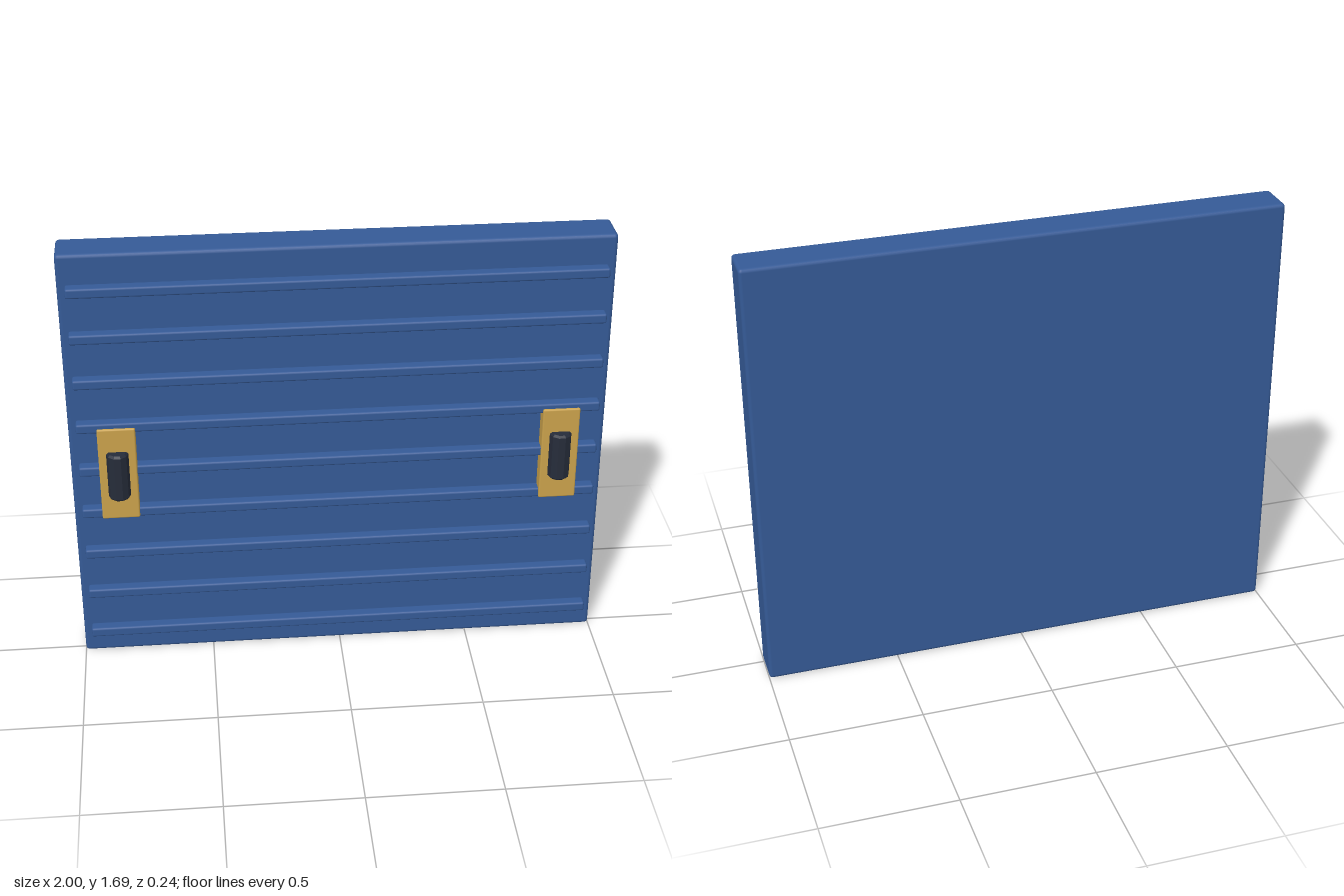
import * as THREE from 'three';
import { RoundedBoxGeometry } from 'three/addons/geometries/RoundedBoxGeometry.js';

const blue = new THREE.MeshStandardMaterial({ color: 0x355a96 });
blue.name = 'blue paint';
const brass = new THREE.MeshStandardMaterial({ color: 0xcaa24c });
brass.name = 'brass';
const dark = new THREE.MeshStandardMaterial({ color: 0x262c3a, flatShading: true });
dark.name = 'dark grip';

// Box with softened edges, given by its centre
function softBox(name, material, w, h, d, radius, x, y, z) {
  const mesh = new THREE.Mesh(new RoundedBoxGeometry(w, h, d, 2, radius), material);
  mesh.name = name;
  mesh.position.set(x, y, z);
  return mesh;
}

export function createModel() {
  const model = new THREE.Group();
  model.name = 'ribbedPanel';

  // Main slab
  model.add(softBox('panel', blue, 2, 1.69, 0.15, 0.014, 0, 0.845, -0.045));

  // Nine horizontal ribs on the front
  const ribs = new THREE.Group();
  ribs.name = 'ribs';
  for (let i = 0; i < 9; i++) {
    ribs.add(softBox('rib', blue, 1.94, 0.038, 0.046, 0.008, 0, 0.11 + i * 0.181, 0.049));
  }
  model.add(ribs);

  // Handles: backing plate and a ten-sided grip with chamfered ends
  const r = 0.041, half = 0.096, c = 0.008;
  const gripProfile = [[0, -half], [r - c, -half], [r, -half + c], [r, half - c], [r - c, half], [0, half]]
    .map(([x, y]) => new THREE.Vector2(x, y));
  for (const side of [-1, 1]) {
    const handle = new THREE.Group();
    handle.name = side > 0 ? 'leftHandle' : 'rightHandle';
    handle.position.set(side * 0.825, 0.825, 0);
    handle.add(softBox('handlePlate', brass, 0.14, 0.38, 0.055, 0.006, 0, 0, 0.0535));
    const grip = new THREE.Mesh(new THREE.LatheGeometry(gripProfile, 10, Math.PI / 10), dark);
    grip.name = 'handleGrip';
    grip.position.z = 0.081;
    handle.add(grip);
    model.add(handle);
  }
  return model;
}
